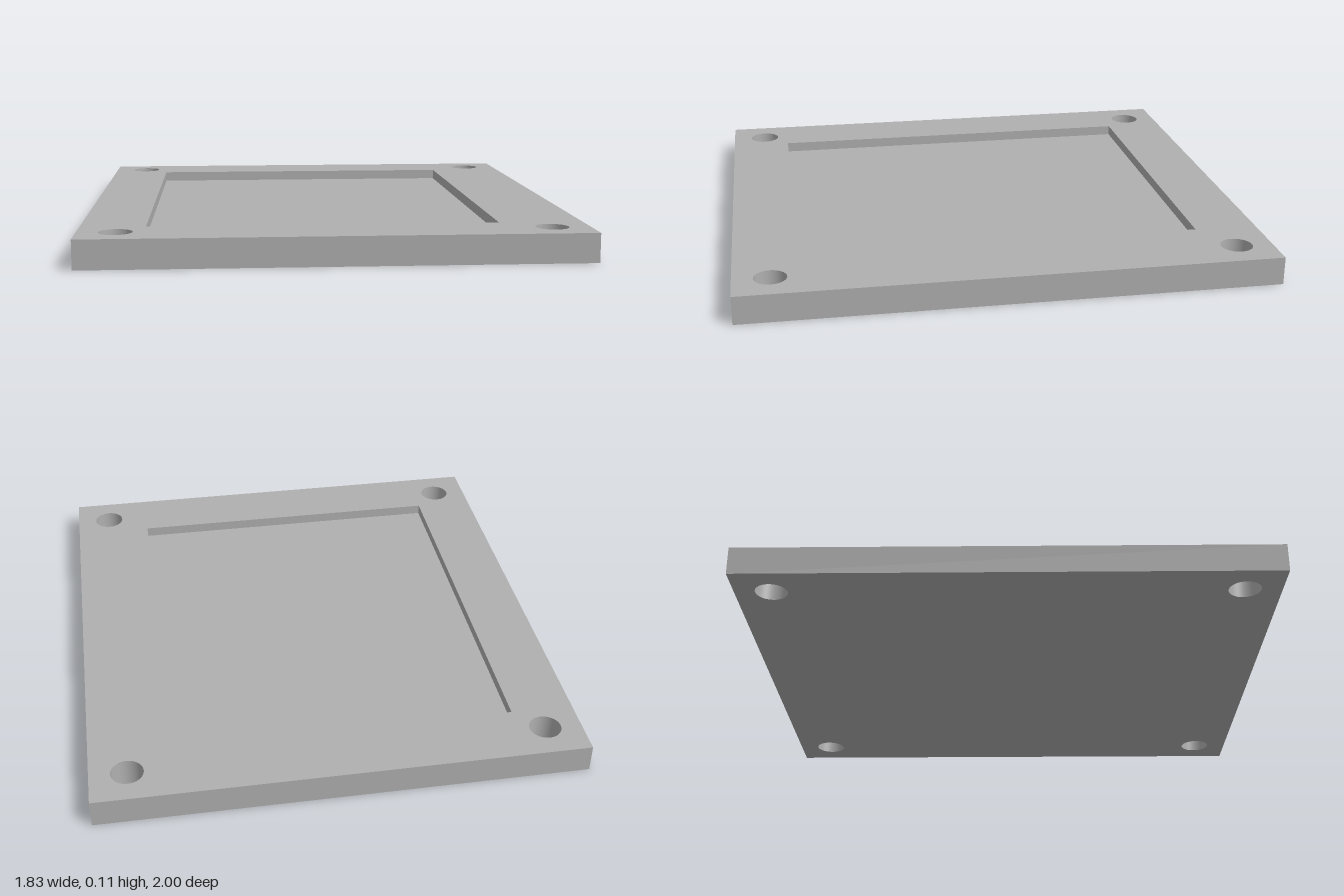
import * as THREE from 'three';
import { mergeGeometries } from 'three/addons/utils/BufferGeometryUtils.js';

const WIDTH = 1.826, DEPTH = 2, HEIGHT = 0.107;
const HOLE_X = 0.775, HOLE_Z = 0.863, HOLE_R = 0.06;
const POCKET = { x0: -0.676, x1: 0.604, z0: -0.76, z1: 0.76, floor: 0.067 };

// Counter-clockwise outlines in plan
const rect = (x0, x1, z0, z1) => [[x0, z0], [x1, z0], [x1, z1], [x0, z1]]
  .map(([x, y]) => new THREE.Vector2(x, y));

const circle = (cx, cy, r, n = 48) => Array.from({ length: n }, (_, i) => {
  const a = (i / n) * Math.PI * 2;
  return new THREE.Vector2(cx + r * Math.cos(a), cy + r * Math.sin(a));
});

// Flat horizontal face with openings, facing up or down
function face(outline, openings, y, up = true) {
  const shape = new THREE.Shape(outline);
  shape.holes = openings.map((points) => new THREE.Path(points));
  const geometry = new THREE.ShapeGeometry(shape);
  geometry.rotateX(up ? -Math.PI / 2 : Math.PI / 2).translate(0, y, 0);
  geometry.deleteAttribute('uv');
  return geometry.toNonIndexed();
}

// Vertical wall round an outline; inward walls face the opening
function wall(outline, y0, y1, inward = false, smooth = false) {
  const points = inward ? [...outline].reverse() : outline;
  const positions = [], index = [], n = points.length;
  points.forEach((p, i) => {
    positions.push(p.x, y0, -p.y, p.x, y1, -p.y);
    const a = 2 * i, b = 2 * ((i + 1) % n);
    index.push(a, b, b + 1, a, b + 1, a + 1);
  });
  const geometry = new THREE.BufferGeometry();
  geometry.setAttribute('position', new THREE.Float32BufferAttribute(positions, 3));
  geometry.setIndex(index);
  if (smooth) geometry.computeVertexNormals();
  const result = geometry.toNonIndexed();
  if (!smooth) result.computeVertexNormals();
  return result;
}

export function createModel() {
  const group = new THREE.Group();
  group.name = 'mountingPlate';
  const grey = new THREE.MeshStandardMaterial({ color: 0xb0b0b0 });
  grey.name = 'plain grey';

  const add = (name, parts) => {
    const mesh = new THREE.Mesh(mergeGeometries(parts), grey);
    mesh.name = name;
    group.add(mesh);
  };

  const edge = rect(-WIDTH / 2, WIDTH / 2, -DEPTH / 2, DEPTH / 2);
  const pocket = rect(POCKET.x0, POCKET.x1, POCKET.z0, POCKET.z1);
  const holes = [];
  for (const sx of [-1, 1]) {
    for (const sz of [-1, 1]) holes.push(circle(sx * HOLE_X, sz * HOLE_Z, HOLE_R));
  }

  // Plate body: rim, underside and outer edges
  add('plateBody', [
    face(edge, [...holes, pocket], HEIGHT),
    face(edge, holes, 0, false),
    wall(edge, 0, HEIGHT),
  ]);

  // Shallow rectangular pocket, offset to the model's right
  add('pocket', [
    face(pocket, [], POCKET.floor),
    wall(pocket, POCKET.floor, HEIGHT, true),
  ]);

  // Corner screw holes through the plate
  add('screwHoles', holes.map((hole) => wall(hole, 0, HEIGHT, true, true)));

  return group;
}
